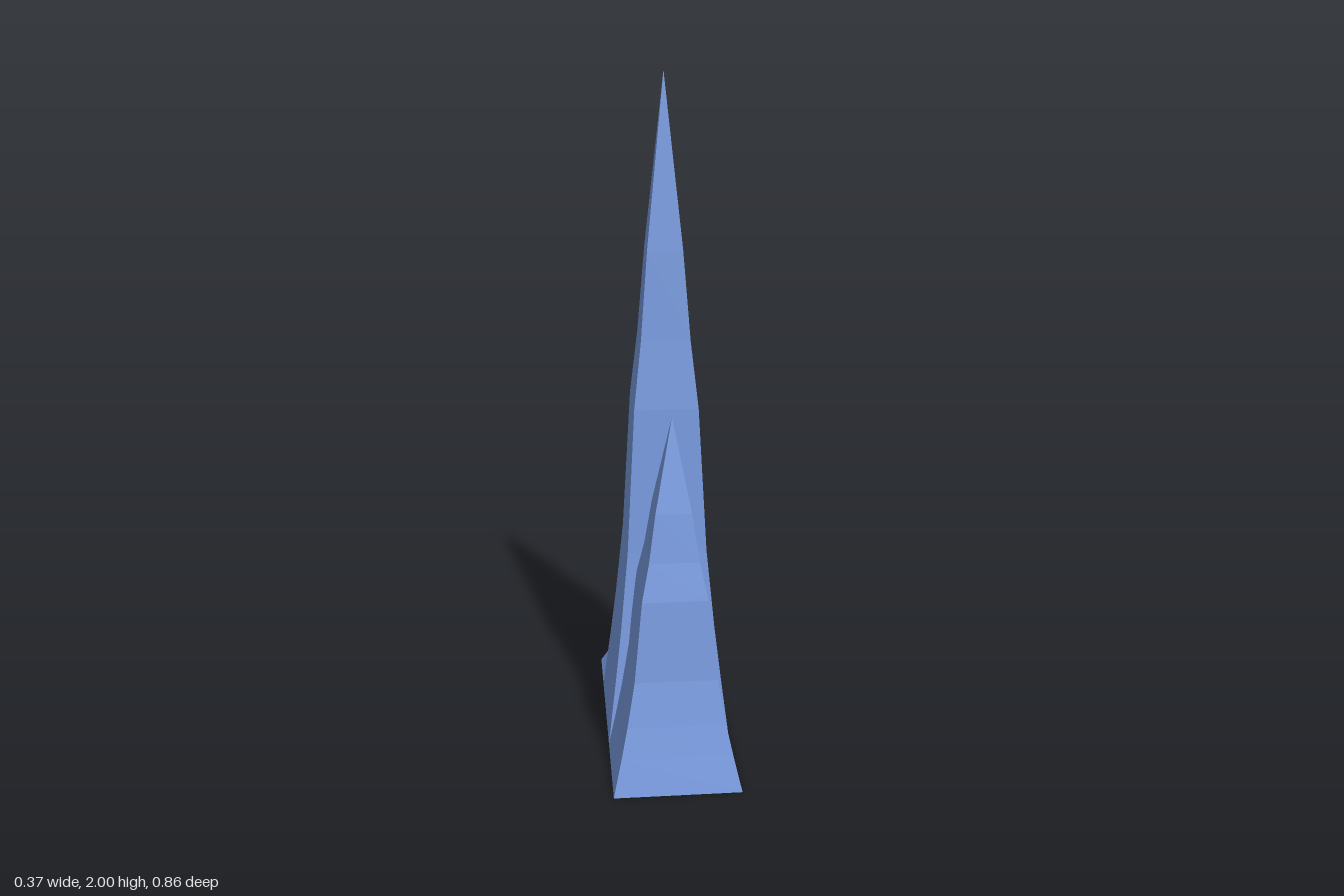
import * as THREE from 'three';

// Shared spire outline: [fraction of height, fraction of half width]
const OUTLINE = [[0, 1], [0.1, 0.865], [0.18, 0.765], [0.3, 0.64], [0.41, 0.575], [0.52, 0.51], [0.62, 0.39], [0.75, 0.28], [1, 0]];

// Four-sided faceted spire with a closed base
function spireGeometry(halfX, halfZ, height) {
  const points = [new THREE.Vector2(0, 0)];
  for (const [t, w] of OUTLINE) points.push(new THREE.Vector2(w * Math.SQRT2, t));
  const geometry = new THREE.LatheGeometry(points, 4, Math.PI / 4).toNonIndexed();
  geometry.scale(halfX, height, halfZ);
  geometry.computeVertexNormals();
  return geometry;
}

export function createModel() {
  const group = new THREE.Group();
  group.name = 'crystalSpires';
  const blue = new THREE.MeshStandardMaterial({ color: 0x7799dd });
  blue.name = 'crystalBlue';

  // name, centre z, half depth, height
  const spires = [
    ['mainSpire', -0.065, 0.195, 2],
    ['frontSpire', 0.207, 0.222, 1.07],
    ['backSpire', -0.3, 0.13, 0.44],
  ];
  for (const [name, z, halfZ, height] of spires) {
    const spire = new THREE.Mesh(spireGeometry(0.186, halfZ, height), blue);
    spire.name = name;
    spire.position.z = z;
    group.add(spire);
  }
  return group;
}
